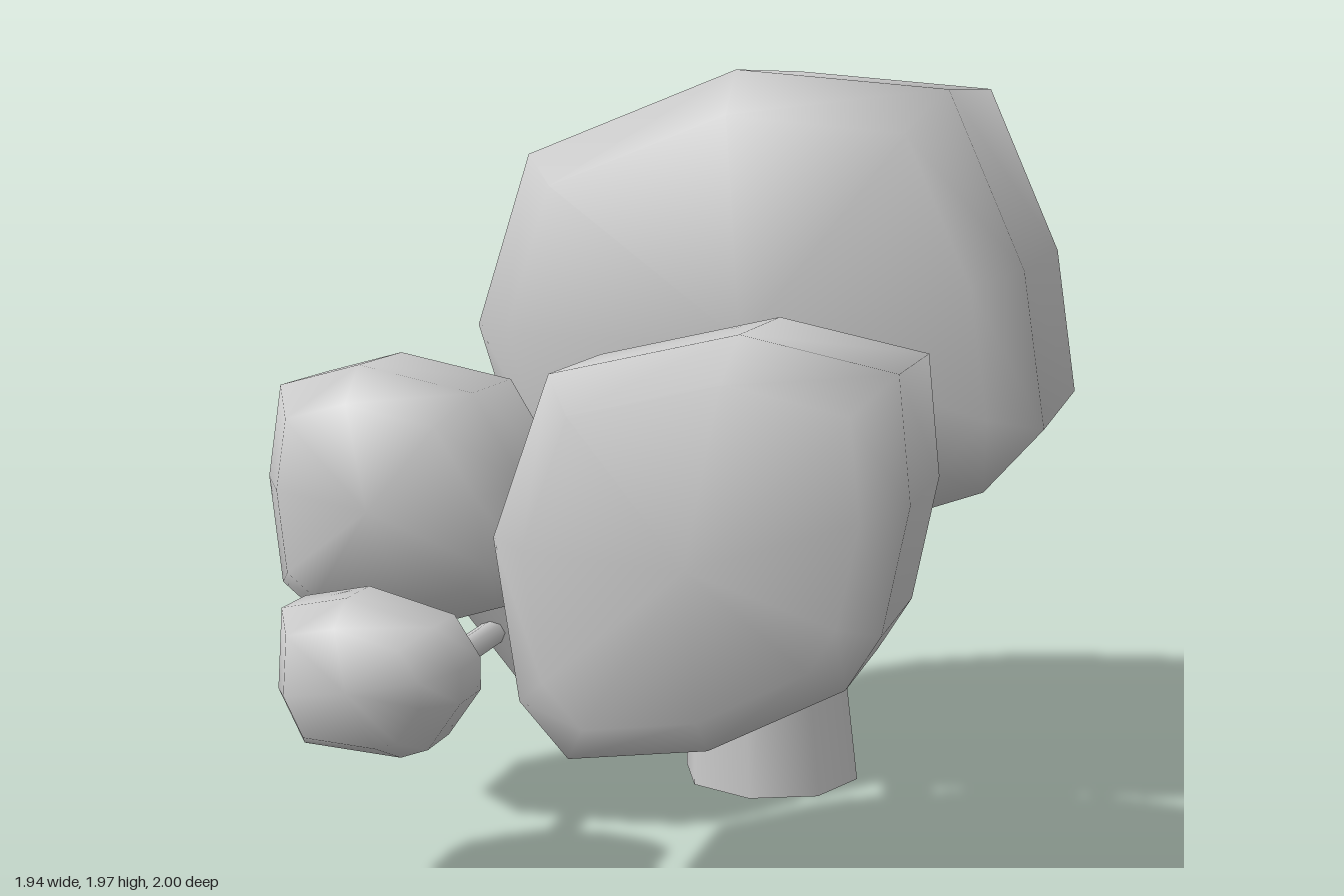
import * as THREE from 'three';
import { mergeVertices } from 'three/addons/utils/BufferGeometryUtils.js';

const material = new THREE.MeshStandardMaterial({ color: 0xcccccc });

function addMesh(parent, name, geometry) {
  const mesh = new THREE.Mesh(geometry, material);
  mesh.name = name;
  parent.add(mesh);
  return mesh;
}

// Rounded clump: an outline (clockwise in xy) swept from front to back through [z, scale] layers
function clumpGeometry(outline, [cx, cy], layers) {
  const positions = [], index = [], n = outline.length;
  layers.forEach(([z, s], k) => {
    outline.forEach(([x, y], i) => {
      positions.push(cx + (x - cx) * s, cy + (y - cy) * s, z);
      if (k === layers.length - 1) return;
      const a = k * n + i, b = k * n + (i + 1) % n;
      if (s > 0) index.push(a, b, b + n);
      if (layers[k + 1][1] > 0) index.push(a, b + n, a + n);
    });
  });
  const geometry = new THREE.BufferGeometry();
  geometry.setAttribute('position', new THREE.Float32BufferAttribute(positions, 3));
  geometry.setIndex(index);
  const merged = mergeVertices(geometry, 1e-4);
  merged.computeVertexNormals();
  return merged;
}

// Straight tapered limb between two points
function addLimb(parent, name, from, to, r0, r1, sides = 8) {
  const a = new THREE.Vector3(...from), b = new THREE.Vector3(...to);
  const dir = b.clone().sub(a);
  const limb = addMesh(parent, name, new THREE.CylinderGeometry(r1, r0, dir.length(), sides));
  limb.position.copy(a).add(b).multiplyScalar(0.5);
  limb.quaternion.setFromUnitVectors(new THREE.Vector3(0, 1, 0), dir.normalize());
  return limb;
}

const clumps = [
  {
    name: 'crownFoliage', center: [0.24, 1.3],
    outline: [[-0.56, 1.29], [-0.41, 1.75], [0.16, 1.97], [0.71, 1.92], [0.91, 1.47],
      [0.97, 1.07], [0.82, 0.9], [0.32, 0.72], [-0.2, 0.66], [-0.44, 0.92]],
    layers: [[0.23, 0], [0.13, 0.83], [-0.02, 1], [-0.75, 1], [-0.89, 0.83], [-1, 0]],
  },
  {
    name: 'frontFoliage', center: [0.3, 0.87],
    outline: [[-0.2, 0.89], [-0.06, 1.28], [0.39, 1.385], [0.75, 1.31], [0.78, 1.02],
      [0.72, 0.72], [0.64, 0.59], [0.32, 0.42], [-0.02, 0.37], [-0.14, 0.5]],
    layers: [[0.94, 0], [0.895, 0.8], [0.81, 1], [0.43, 1], [0.34, 0.8], [0.29, 0]],
  },
  {
    name: 'sideFoliage', center: [-0.61, 0.89],
    outline: [[-0.97, 0.93], [-0.93, 1.17], [-0.71, 1.23], [-0.4, 1.17], [-0.26, 0.94],
      [-0.235, 0.72], [-0.31, 0.63], [-0.5, 0.57], [-0.84, 0.57], [-0.94, 0.65]],
    layers: [[0.62, 0], [0.56, 0.76], [0.43, 1], [0.16, 1], [0.04, 0.76], [-0.02, 0]],
  },
  {
    name: 'smallFoliage', center: [-0.5, 0.54],
    outline: [[-0.735, 0.5], [-0.72, 0.7], [-0.55, 0.735], [-0.33, 0.68], [-0.265, 0.58],
      [-0.265, 0.5], [-0.35, 0.38], [-0.42, 0.355], [-0.67, 0.37]],
    layers: [[0.995, 0], [0.965, 0.74], [0.87, 1], [0.74, 1], [0.67, 0.72], [0.635, 0]],
  },
];

export function createModel() {
  const tree = new THREE.Group();
  tree.name = 'tree';

  for (const { name, outline, center, layers } of clumps) {
    addMesh(tree, name, clumpGeometry(outline, center, layers));
  }

  // Trunk, sheared so it leans while its foot stays level
  const trunk = new THREE.CylinderGeometry(0.195, 0.25, 0.9, 8);
  trunk.translate(0, 0.45, 0);
  trunk.applyMatrix4(new THREE.Matrix4().makeShear(0, 0, -0.06, 0, 0, 0));
  addMesh(tree, 'trunk', trunk).position.set(0.19, 0, -0.33);

  // Side branch with an elbow, and the twig growing from it
  const elbow = [-0.38, 0.272, -0.07];
  addLimb(tree, 'sideBranchLower', [0.05, 0.345, -0.22], elbow, 0.06, 0.06);
  addMesh(tree, 'sideBranchElbow', new THREE.SphereGeometry(0.06, 8, 6)).position.set(...elbow);
  addLimb(tree, 'sideBranchUpper', elbow, [-0.64, 0.72, 0.13], 0.06, 0.055);
  addLimb(tree, 'twig', [-0.5, 0.455, 0.02], [-0.5, 0.45, 0.72], 0.036, 0.034);

  // Branch carrying the front foliage
  addLimb(tree, 'frontBranch', [0.24, 0.53, -0.25], [0.255, 0.605, 0.42], 0.064, 0.055);

  return tree;
}
